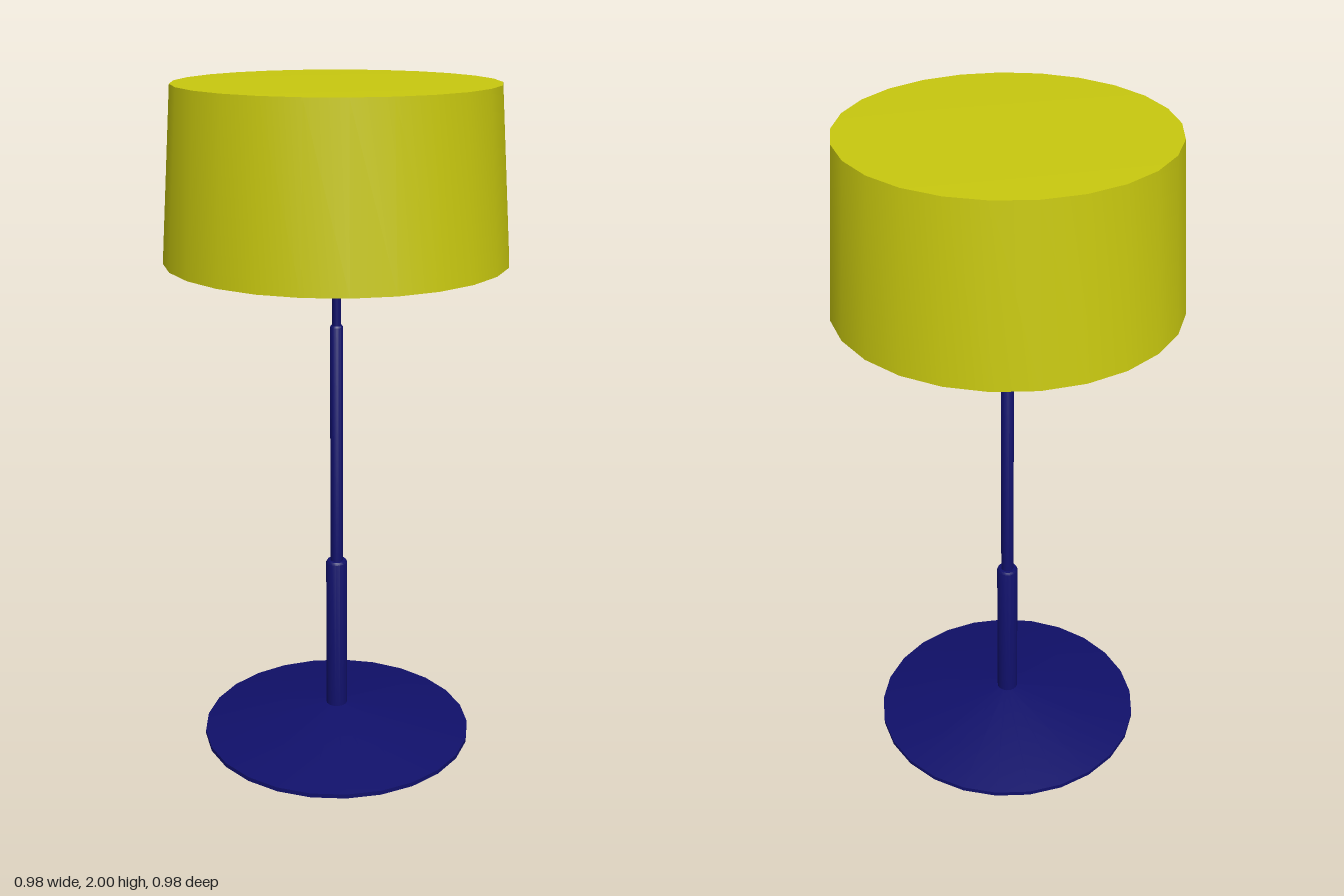
import * as THREE from 'three';
import { toCreasedNormals } from 'three/addons/utils/BufferGeometryUtils.js';

const yellow = new THREE.MeshStandardMaterial({ color: 0xc8c80f });
const navy = new THREE.MeshStandardMaterial({ color: 0x10106a });
const red = new THREE.MeshStandardMaterial({ color: 0xb01010 });

// Turned part from [radius, height] pairs, soft around and crisp at corners
function turned(name, profile, sides, material) {
  const points = profile.map(([r, y]) => new THREE.Vector2(r, y));
  const geometry = toCreasedNormals(new THREE.LatheGeometry(points, sides), 0.55);
  const mesh = new THREE.Mesh(geometry, material);
  mesh.name = name;
  return mesh;
}

export function createModel() {
  const lamp = new THREE.Group();
  lamp.name = 'tableLamp';

  // Flat conical foot
  lamp.add(turned('base', [[0, 0], [0.413, 0], [0.413, 0.013], [0.03, 0.086], [0, 0.086]], 25, navy));

  // Three-stage telescopic stem
  lamp.add(turned('lowerStem', [[0.032, 0.07], [0.032, 0.565], [0.028, 0.572], [0, 0.572]], 16, navy));
  lamp.add(turned('middleStem', [[0.019, 0.56], [0.019, 1.302], [0.016, 1.307], [0, 1.307]], 16, navy));
  lamp.add(turned('upperStem', [[0.013, 1.3], [0.013, 1.49]], 16, navy));

  // Bulb holder on a round plate
  lamp.add(turned('holderPlate', [[0, 1.485], [0.075, 1.485], [0.075, 1.5], [0, 1.5]], 25, navy));
  lamp.add(turned('socket', [[0.046, 1.495], [0.046, 1.605], [0, 1.605]], 20, navy));

  // Bulb: flared neck running into a round top
  const bulbProfile = [[0.043, 1.6], [0.05, 1.63], [0.068, 1.665], [0.086, 1.695]];
  for (let i = 0; i <= 8; i++) {
    const a = -0.2 + (i / 8) * (Math.PI / 2 + 0.2);
    bulbProfile.push([Math.max(0, 0.093 * Math.cos(a)), 1.735 + 0.093 * Math.sin(a)]);
  }
  lamp.add(turned('bulb', bulbProfile, 24, red));

  // Three bent wires carrying the shade
  const wirePath = new THREE.CatmullRomCurve3(
    [[0.06, 1.489], [0.1, 1.489], [0.138, 1.49], [0.151, 1.505], [0.152, 1.55], [0.152, 1.75], [0.152, 1.965]]
      .map(([x, y]) => new THREE.Vector3(x, y, 0)),
    false, 'centripetal');
  const wireGeometry = new THREE.TubeGeometry(wirePath, 60, 0.005, 8);
  for (let i = 0; i < 3; i++) {
    const wire = new THREE.Mesh(wireGeometry, navy);
    wire.name = 'shadeWire' + (i + 1);
    wire.rotation.y = (i * Math.PI * 2) / 3;
    lamp.add(wire);
  }

  // Thick tapered shade with a closed, barely domed top
  lamp.add(turned('shade', [
    [0, 1.965], [0.42, 1.957], [0.455, 1.5], [0.49, 1.5], [0.455, 1.99], [0, 2],
  ], 25, yellow));

  return lamp;
}
